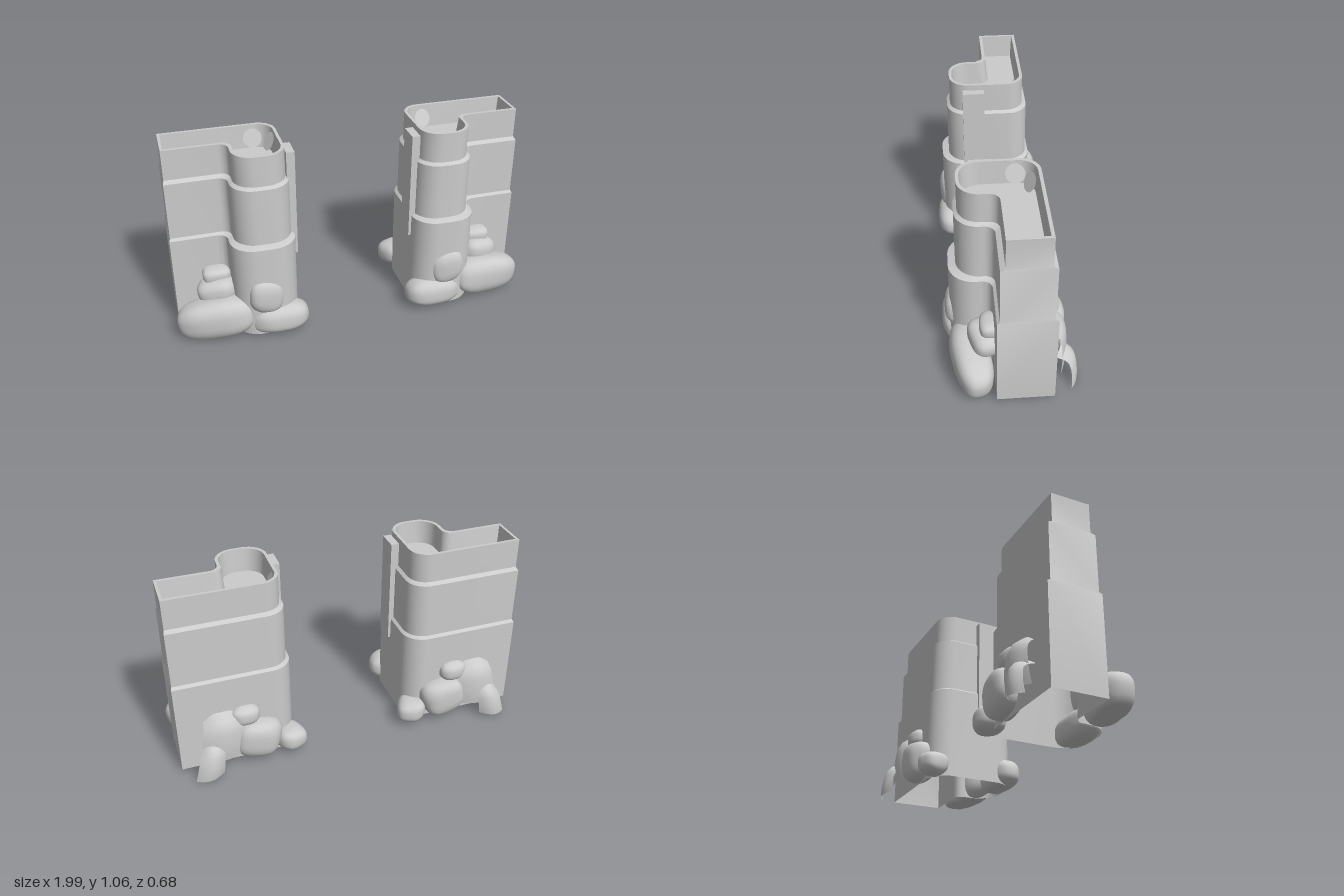
import * as THREE from 'three';
import { mergeVertices, toCreasedNormals } from 'three/addons/utils/BufferGeometryUtils.js';

const stone = new THREE.MeshStandardMaterial({ color: 0xcccccc, side: THREE.DoubleSide });

function add(parent, name, geometry) {
  const mesh = new THREE.Mesh(geometry, stone);
  mesh.name = name;
  parent.add(mesh);
  return mesh;
}

// L-shaped plan: a rounded turret (x0..xs, reaching zf) with a square arm (to x1, za)
function plan([x0, xs, x1, zb, za, zf], r = 0.11) {
  const corners = [
    [x1, zb, 0], [x1, za, 0], [xs, za, 0.05], [xs, zf, r], [x0, zf, r], [x0, zb, r * 0.9],
  ];
  const points = [];
  corners.forEach(([x, z, radius], i) => {
    const c = new THREE.Vector2(x, z);
    if (!radius) return points.push(c);
    const before = corners[(i + 5) % 6], after = corners[(i + 1) % 6];
    const a = new THREE.Vector2(before[0], before[1]).sub(c).setLength(radius);
    const b = new THREE.Vector2(after[0], after[1]).sub(c).setLength(radius);
    const k = 0.448; // circular-arc handle length
    points.push(...new THREE.CubicBezierCurve(
      c.clone().add(a), c.clone().addScaledVector(a, k),
      c.clone().addScaledVector(b, k), c.clone().add(b)).getPoints(8));
  });
  return points;
}

// Skin a stack of [plan, height] loops
function loft(loops) {
  const n = loops[0][0].length, position = [], index = [];
  loops.forEach(([points, y], j) => points.forEach((p, i) => {
    position.push(p.x, y, p.y);
    if (j === 0) return;
    const a = (j - 1) * n + i, b = (j - 1) * n + (i + 1) % n;
    index.push(a, a + n, b, b, a + n, b + n);
  }));
  const g = new THREE.BufferGeometry();
  g.setAttribute('position', new THREE.Float32BufferAttribute(position, 3));
  g.setIndex(index);
  return toCreasedNormals(g, 0.6);
}

// Boulder: squared-off ellipsoid with gentle lumps and a flat foot
function boulder([x, y, z], [sx, sy, sz], turn = 0, tilt = 0, seed = 1) {
  let g = new THREE.IcosahedronGeometry(1, 6);
  g.deleteAttribute('uv');
  g.deleteAttribute('normal');
  g = mergeVertices(g);
  const p = g.attributes.position;
  const square = (v) => Math.sign(v) * Math.abs(v) ** 0.75;
  for (let i = 0; i < p.count; i++) {
    const [a, b, c] = [p.getX(i), p.getY(i), p.getZ(i)];
    const lump = 0.95 + 0.05 * Math.sin(2.5 * a + seed) * Math.cos(2 * b + 3 * c + seed * 2);
    p.setXYZ(i, square(a) * sx * lump, square(b) * sy * lump, square(c) * sz * lump);
  }
  g.rotateZ(tilt).rotateY(turn).translate(x, y, z);
  for (let i = 0; i < p.count; i++) p.setY(i, Math.max(0.02, p.getY(i)));
  g.computeVertexNormals();
  return g;
}

// Thin curved slab of rock leaning on the wall
function slab([x, y, z], w, h, bulge, lean, skew) {
  const g = new THREE.PlaneGeometry(w, h, 8, 8);
  const p = g.attributes.position;
  for (let i = 0; i < p.count; i++) {
    const u = p.getX(i) / w * 2, v = p.getY(i) / h * 2;
    const px = p.getX(i) * (1 - 0.12 * v) + skew * v;
    const py = p.getY(i) - 0.03 * u * u * (v > 0 ? v : 0) + 0.012 * u * (v < 0 ? v : 0);
    const curl = v > 0 ? v ** 4 : 0.25 * v * v;
    p.setXYZ(i, x + px, y + py, z - bulge * (1 - 0.5 * u * u - 0.9 * curl) + lean * v);
  }
  g.computeVertexNormals();
  return g;
}

function buildTower() {
  const tower = new THREE.Group();

  // Three stepped tiers, rim and inner parapet face
  const low = plan([0.33, 0.68, 0.98, -0.215, 0.08, 0.295], 0.13);
  const mid = plan([0.345, 0.655, 0.975, -0.198, 0.065, 0.257], 0.12);
  const top = plan([0.362, 0.637, 0.97, -0.175, 0.04, 0.24], 0.11);
  const rim = plan([0.378, 0.62, 0.955, -0.158, 0.022, 0.224], 0.1);
  const well = plan([0.386, 0.612, 0.945, -0.15, 0.008, 0.215], 0.095);
  add(tower, 'tieredWalls', loft([
    [low, 0.02], [low, 0.553], [mid, 0.565], [mid, 0.882], [top, 0.895],
    [top, 1.06], [rim, 1.06], [well, 0.93],
  ]));

  // Recessed floor
  const floor = new THREE.Shape(well.map((p) => new THREE.Vector2(p.x, -p.y)));
  add(tower, 'floor', new THREE.ShapeGeometry(floor).rotateX(-Math.PI / 2).translate(0, 0.93, 0));

  // Two small discs leaning in the rounded back corner
  [[0.405, -0.055, 1, 0.2], [0.48, -0.118, 0.35, 1]].forEach(([x, z, nx, nz]) => {
    const disc = add(tower, 'leaningDisc', new THREE.CircleGeometry(0.05, 24));
    disc.position.set(x, 1.0, z);
    disc.lookAt(x + nx, 1.5, z + nz);
  });

  // Upright strip on the inner side
  add(tower, 'sideStrip', new THREE.BoxGeometry(0.045, 0.6, 0.12).translate(0.338, 0.73, 0.11));

  // Boulders: centre, half sizes, turn, tilt
  const rocks = [
    [[0.79, 0.115, 0.2], [0.215, 0.125, 0.1], 0.2, -0.15],
    [[0.445, 0.095, 0.25], [0.165, 0.088, 0.09], 0, 0],
    [[0.52, 0.255, 0.26], [0.1, 0.11, 0.065], 0, 0.1],
    [[0.76, 0.25, 0.13], [0.115, 0.07, 0.08], 0.3, -0.2],
    [[0.755, 0.325, 0.09], [0.082, 0.052, 0.07], 0, 0],
    [[0.365, 0.085, -0.21], [0.085, 0.07, 0.085], 0.4, 0],
    [[0.55, 0.15, -0.225], [0.135, 0.125, 0.09], 0, 0.2],
    [[0.61, 0.31, -0.21], [0.08, 0.06, 0.06], 0, 0],
  ];
  rocks.forEach(([centre, size, turn, tilt], i) =>
    add(tower, 'boulder', boulder(centre, size, turn, tilt, i + 1)));

  // Loose slabs on the back
  add(tower, 'upperSlab', slab([0.745, 0.22, -0.225], 0.23, 0.28, 0.07, 0.01, -0.01));
  add(tower, 'lowerSlab', slab([0.825, 0.11, -0.27], 0.14, 0.2, 0.07, 0.02, -0.02));
  return tower;
}

export function createModel() {
  const model = new THREE.Group();
  const left = buildTower();
  left.name = 'leftTower';
  const right = buildTower();
  right.name = 'rightTower';
  right.scale.x = -1;
  model.add(left, right);
  return model;
}
